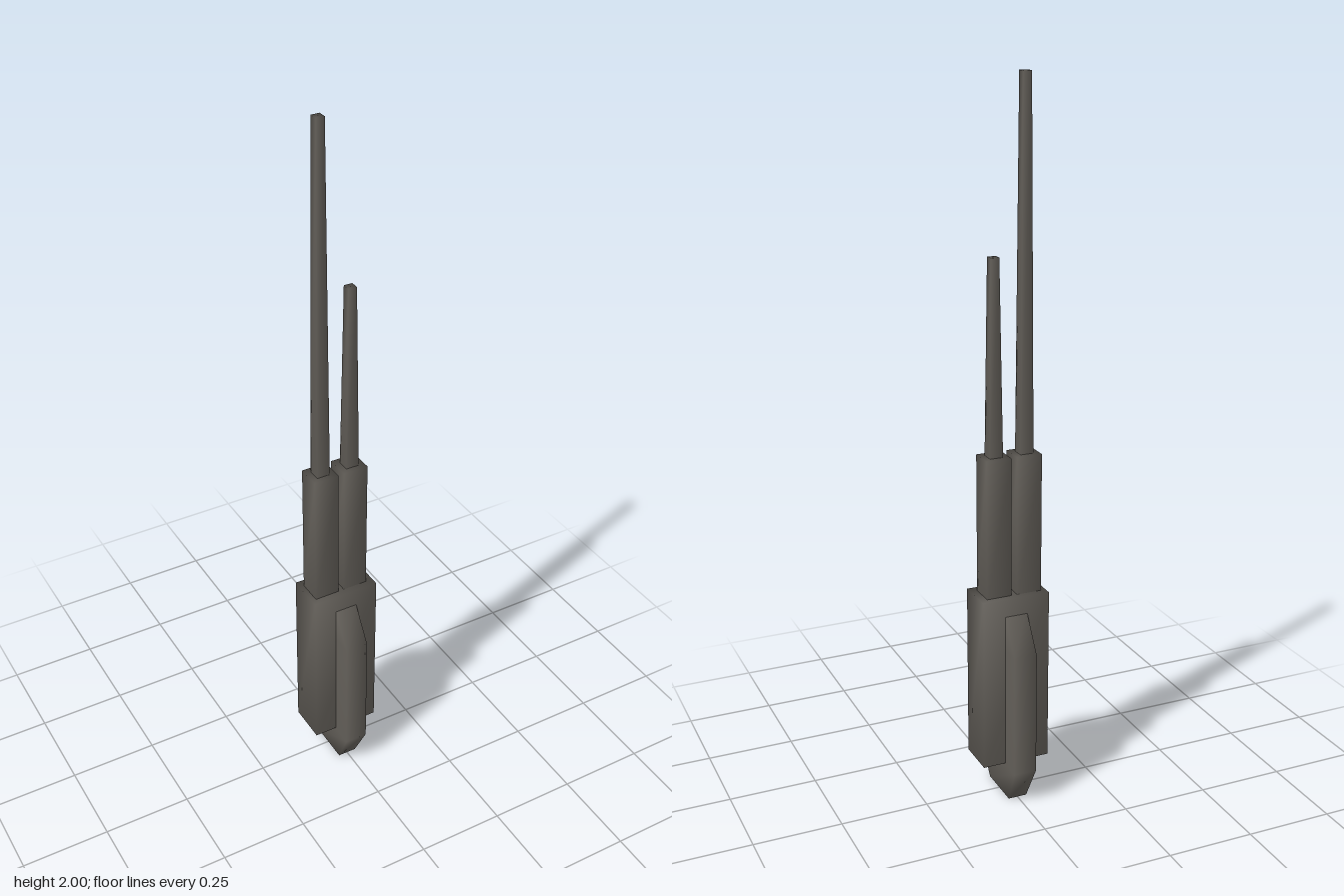
import * as THREE from 'three';

// Smooth-shaded rectangular loft; each row is [y, half width, half depth]
function loft(rows) {
  const pos = [], idx = [];
  for (const [y, w, d] of rows) pos.push(-w, y, d, w, y, d, w, y, -d, -w, y, -d);
  const top = (rows.length - 1) * 4;
  for (let r = 0; r < top; r += 4) {
    for (let i = 0; i < 4; i++) {
      const a = r + i, b = r + (i + 1) % 4;
      idx.push(a, b, b + 4, a, b + 4, a + 4);
    }
  }
  idx.push(0, 2, 1, 0, 3, 2);
  idx.push(top, top + 1, top + 2, top, top + 2, top + 3);
  const g = new THREE.BufferGeometry();
  g.setAttribute('position', new THREE.Float32BufferAttribute(pos, 3));
  g.setIndex(idx);
  g.computeVertexNormals();
  return g;
}

export function createModel() {
  const model = new THREE.Group();
  model.name = 'antennaUnit';
  const metal = new THREE.MeshStandardMaterial({ color: 0x625e58 });
  metal.name = 'dark warm grey metal';

  const add = (name, rows, x = 0) => {
    const mesh = new THREE.Mesh(loft(rows), metal);
    mesh.name = name;
    mesh.position.x = x;
    model.add(mesh);
  };

  // Base block and the chamfered fin running through it front to back
  add('baseBlock', [[0.11, 0.098, 0.057], [0.61, 0.098, 0.057]]);
  add('baseFin', [
    [0, 0.027, 0.067], [0.105, 0.033, 0.12], [0.46, 0.033, 0.12], [0.57, 0.033, 0.05],
  ]);

  // Two sockets, each holding a tapered mast of its own height
  for (const [side, x, height] of [['right', -0.048, 2], ['left', 0.041, 1.54]]) {
    add(side + 'Socket', [[0.6, 0.036, 0.035], [1.005, 0.036, 0.035]], x);
    add(side + 'Mast', [[1, 0.019, 0.018], [height, 0.012, 0.012]], x);
  }
  return model;
}
